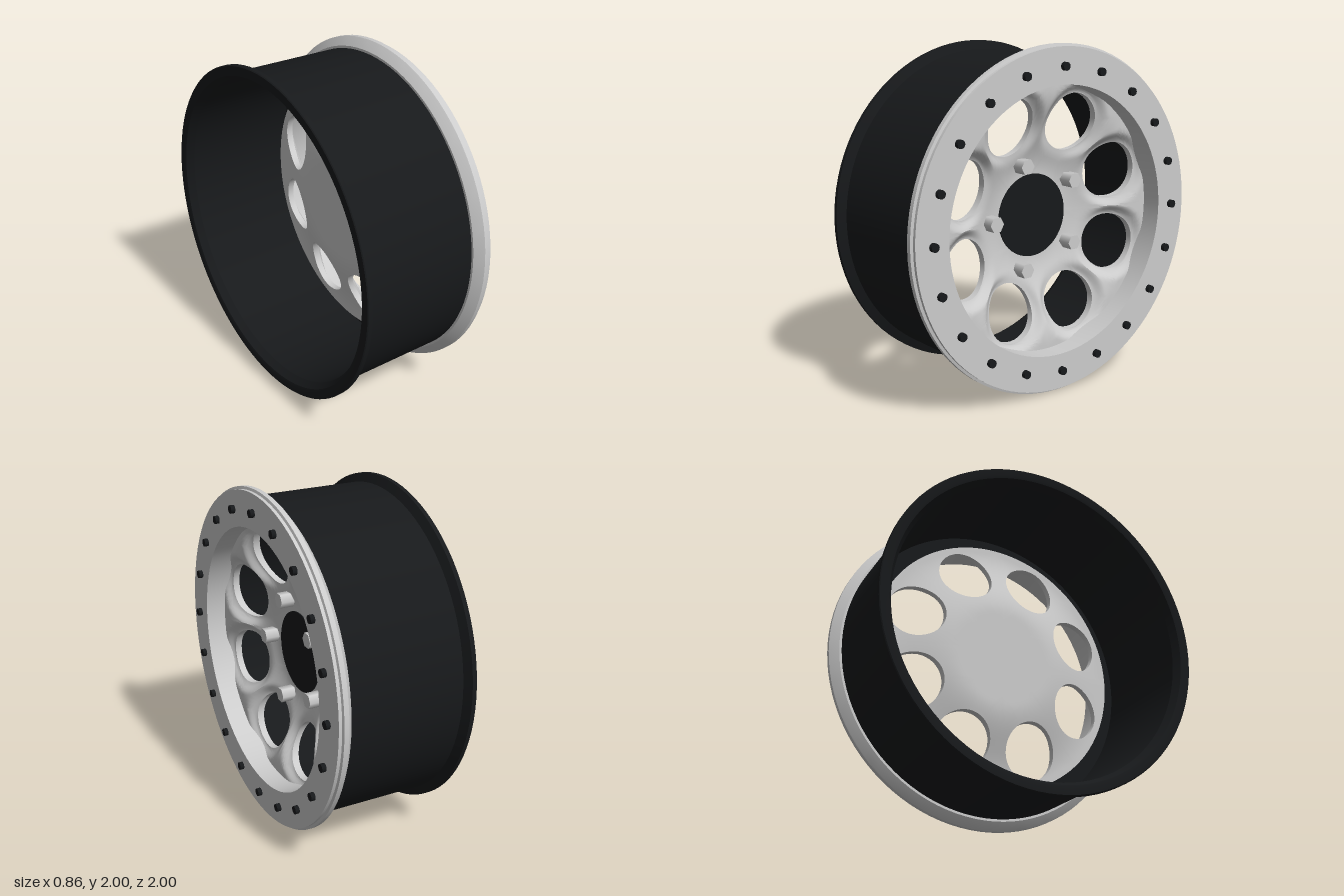
import * as THREE from 'three';
import { mergeVertices, toCreasedNormals } from 'three/addons/utils/BufferGeometryUtils.js';

const grey = new THREE.MeshStandardMaterial({ color: 0xcccccc, side: THREE.DoubleSide });
const black = new THREE.MeshStandardMaterial({ color: 0x17191b, side: THREE.DoubleSide });
const HOLES = 8, HOLE_R = 0.17, HOLE_AT = 0.583, HUB_R = 0.24, FACE_R = 0.778;

function mesh(name, geometry, material) {
  const m = new THREE.Mesh(geometry, material);
  m.name = name;
  return m;
}

// Profile of [radius, z] pairs turned about the z axis, with sharp edges kept
function turned(name, profile, material) {
  const pts = profile.map(([r, z]) => new THREE.Vector2(r, z));
  const g = new THREE.LatheGeometry(pts, 96).rotateX(Math.PI / 2);
  g.scale(1, 1, -1); // lathe height maps to +z
  g.scale(1, 1, -1);
  return mesh(name, toCreasedNormals(g, 0.5), material);
}

// Cylinder along z between two depths
function rod(name, radius, z0, z1, sides, material) {
  const g = new THREE.CylinderGeometry(radius, radius, z1 - z0, sides);
  g.rotateX(Math.PI / 2).translate(0, 0, (z0 + z1) / 2);
  return mesh(name, g, material);
}

// Repeats a part on a circle
function around(group, name, count, radius, start, make) {
  const set = new THREE.Group();
  set.name = name;
  for (let i = 0; i < count; i++) {
    const a = start + (i / count) * Math.PI * 2;
    const part = make();
    part.position.set(radius * Math.cos(a), radius * Math.sin(a), 0);
    part.rotation.z = a;
    set.add(part);
  }
  group.add(set);
}

// Dished front surface: rises from hub to rim, sinking around each hole
function frontDepth(r, toHole) {
  const dish = 0.125 + 0.155 * THREE.MathUtils.smoothstep(r, 0.24, 0.74);
  const sink = 1 - THREE.MathUtils.smoothstep(toHole, HOLE_R, 0.235);
  return dish - 0.04 * sink * THREE.MathUtils.smoothstep(r, 0.32, 0.55);
}
const backDepth = (r) => 0.09 + 0.11 * THREE.MathUtils.smoothstep(r, 0.3, 0.76);

// Spoked face: each sector is lofted from its outline, through its hole, and back
function spokedFace() {
  const half = Math.PI / HOLES, n = 14, steps = 8;
  const outline = [];
  const side = (r0, a0, r1, a1) => {
    for (let i = 0; i < n; i++) {
      const t = i / n, r = r0 + (r1 - r0) * t, a = a0 + (a1 - a0) * t;
      outline.push([r * Math.cos(a), r * Math.sin(a)]);
    }
  };
  side(FACE_R, -half, FACE_R, half);
  side(FACE_R, half, HUB_R, half);
  side(HUB_R, half, HUB_R, -half);
  side(HUB_R, -half, FACE_R, -half);

  const rows = [];
  for (let i = steps; i >= 0; i--) rows.push([i / steps, false]);
  for (let i = 0; i <= steps; i++) rows.push([i / steps, true]);

  const pos = [], index = [], count = outline.length;
  for (let s = 0; s < HOLES; s++) {
    const turn = (2 * s + 1) * half, c = Math.cos(turn), d = Math.sin(turn);
    const base = pos.length / 3;
    rows.forEach(([t, front], row) => {
      outline.forEach(([ox, oy], j) => {
        const a = Math.atan2(oy, ox - HOLE_AT);
        const hx = HOLE_AT + HOLE_R * Math.cos(a), hy = HOLE_R * Math.sin(a);
        const x = hx + (ox - hx) * t, y = hy + (oy - hy) * t;
        const r = Math.hypot(x, y), toHole = Math.hypot(x - HOLE_AT, y);
        pos.push(x * c - y * d, x * d + y * c, front ? frontDepth(r, toHole) : backDepth(r));
        if (row === 0) return;
        const k = (j + 1) % count, p = base + (row - 1) * count, q = p + count;
        index.push(p + j, q + j, q + k, p + j, q + k, p + k);
      });
    });
  }
  const g = new THREE.BufferGeometry();
  g.setAttribute('position', new THREE.Float32BufferAttribute(pos, 3));
  g.setIndex(index);
  return mesh('spokedFace', toCreasedNormals(mergeVertices(g, 1e-4), 0.7), grey);
}

export function createModel() {
  const wheel = new THREE.Group();
  wheel.name = 'wheel';

  // Deep barrel, open at the back with a flared lip
  wheel.add(turned('barrel', [
    [0.79, 0.29], [0.905, 0.29], [0.905, -0.38], [0.93, -0.425], [0.945, -0.43],
    [0.985, -0.43], [0.99, -0.425], [0.99, -0.4], [0.94, -0.375], [0.936, 0.31], [0.79, 0.31], [0.79, 0.29],
  ], black));

  // Clamping ring with stepped outer edge and deep inner wall
  wheel.add(turned('clampRing', [
    [0.776, 0.2], [0.795, 0.2], [0.795, 0.31], [0.95, 0.31], [0.995, 0.345], [1, 0.35],
    [1, 0.378], [0.985, 0.383], [0.985, 0.402], [0.776, 0.402], [0.776, 0.2],
  ], grey));

  // Face, hub and centre cap
  wheel.add(spokedFace());
  wheel.add(rod('hub', 0.242, 0.09, 0.124, 48, grey));
  wheel.add(rod('centreCap', 0.245, 0.11, 0.132, 48, black));

  // Ring bolts and hexagonal lug nuts
  around(wheel, 'ringBolts', 20, 0.877, 0, () => rod('ringBolt', 0.024, 0.39, 0.427, 12, black));
  around(wheel, 'lugNuts', 5, 0.32, Math.PI, () => {
    const nut = new THREE.Group();
    nut.name = 'lugNut';
    const hex = rod('lugNutBody', 0.047, 0.11, 0.215, 6, grey);
    hex.rotation.z = Math.PI / 6;
    nut.add(hex);
    return nut;
  });
  // Keep every nut's flats parallel
  wheel.getObjectByName('lugNuts').children.forEach((nut) => { nut.rotation.z = 0; });

  // Stand the wheel upright with its face toward +x
  wheel.rotation.y = Math.PI / 2;
  wheel.position.y = 1;
  const model = new THREE.Group();
  model.name = 'model';
  model.add(wheel);
  return model;
}
